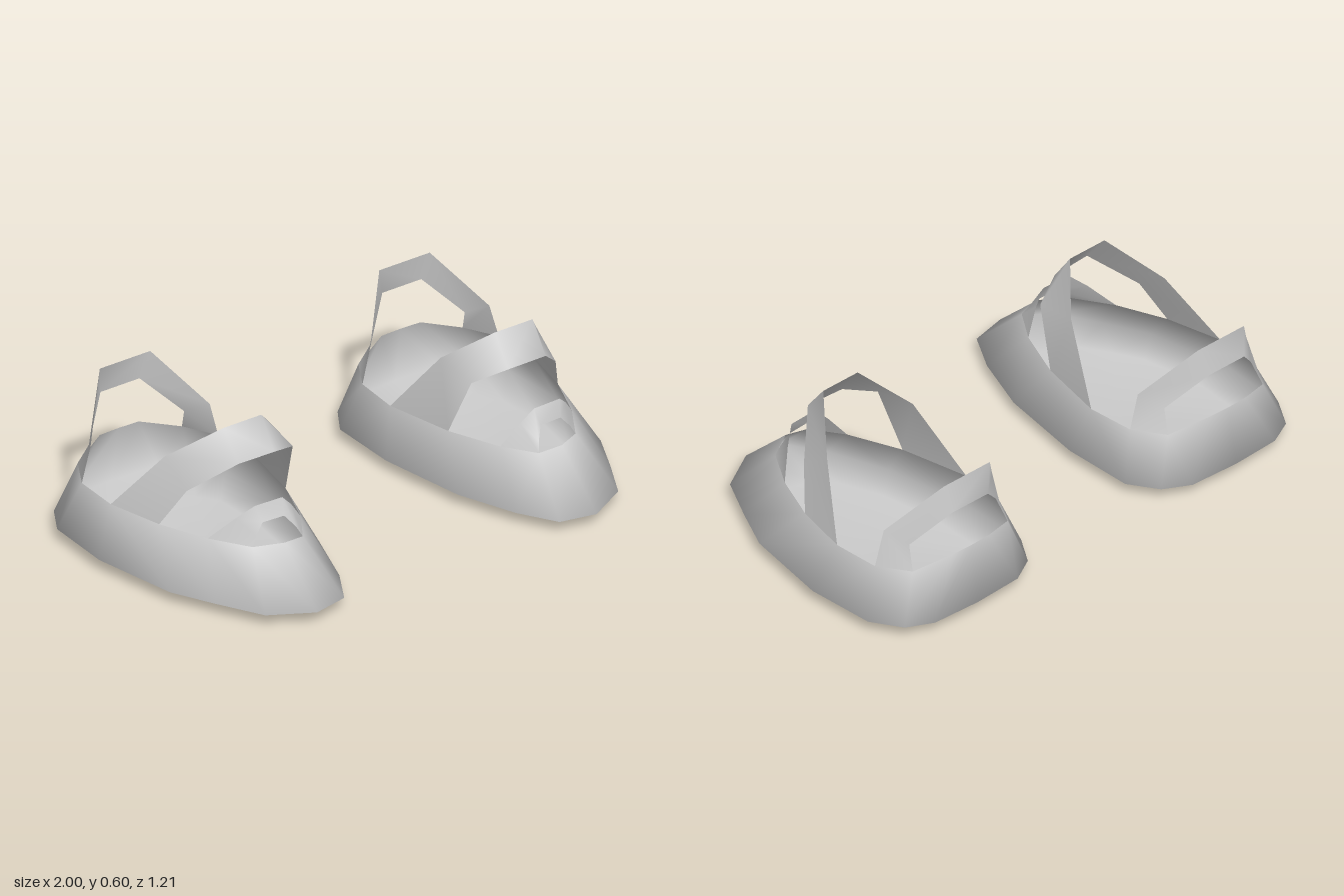
import * as THREE from 'three';

const material = new THREE.MeshStandardMaterial({ color: 0xcccccc, side: THREE.DoubleSide });

// Skin a surface through rows of [x, y, z] points; closed rows wrap around
function loft(name, rows, closed = false) {
  const n = rows[0].length;
  const index = [];
  for (let r = 0; r < rows.length - 1; r++) {
    for (let i = 0; i < (closed ? n : n - 1); i++) {
      const j = (i + 1) % n;
      const a = r * n + i, b = r * n + j, c = a + n, d = b + n;
      index.push(a, b, d, a, d, c);
    }
  }
  const geometry = new THREE.BufferGeometry();
  geometry.setAttribute('position', new THREE.Float32BufferAttribute(rows.flat(2), 3));
  geometry.setIndex(index);
  geometry.computeVertexNormals();
  const mesh = new THREE.Mesh(geometry, material);
  mesh.name = name;
  return mesh;
}

// Widest outline of the sole (x, z), from the toe round the outer side
const outline = [
  [0.61, 0.605], [0.77, 0.515], [0.86, 0.345], [0.94, 0.18], [1.0, -0.16],
  [0.985, -0.43], [0.915, -0.545], [0.815, -0.595], [0.62, -0.605], [0.42, -0.595],
  [0.32, -0.54], [0.25, -0.43], [0.245, -0.15], [0.30, 0.20], [0.385, 0.43], [0.47, 0.575],
];

// Top edge of the side wall, matching the outline point by point
const rim = [
  [0.605, 0.235, 0.405], [0.705, 0.225, 0.35], [0.795, 0.225, 0.205], [0.87, 0.225, 0.02],
  [0.92, 0.225, -0.2], [0.91, 0.225, -0.385], [0.84, 0.23, -0.505], [0.70, 0.27, -0.565],
  [0.615, 0.27, -0.568], [0.53, 0.27, -0.565], [0.385, 0.23, -0.505], [0.315, 0.225, -0.385],
  [0.30, 0.225, -0.2], [0.355, 0.225, 0.07], [0.435, 0.225, 0.27], [0.515, 0.225, 0.39],
];

function createShoe(name) {
  const shoe = new THREE.Group();
  shoe.name = name;

  // Sole and leaning side wall in one smooth skin
  const edge = outline.map(([x, z]) => [x, 0.045, z]);
  const bottom = outline.map(([x, z]) => {
    const bz = z * (z > 0 ? 0.64 : 0.74);
    return [0.62 + (x - 0.62) * 0.72, 0.0083 + 0.0185 * bz, bz];
  });
  const centre = outline.map(() => [0.62, 0.008, 0]);
  shoe.add(loft('soleAndWall', [centre, bottom, edge, rim], true));

  // Small arch over the toe opening
  shoe.add(loft('toeArch', [
    [[0.795, 0.225, 0.205], [0.72, 0.31, 0.27], [0.665, 0.36, 0.31],
      [0.55, 0.36, 0.315], [0.50, 0.31, 0.30], [0.435, 0.225, 0.27]],
    [[0.705, 0.225, 0.35], [0.685, 0.26, 0.345], [0.65, 0.30, 0.335],
      [0.56, 0.30, 0.34], [0.53, 0.26, 0.37], [0.515, 0.225, 0.39]],
  ]));

  // Broad strap over the instep
  shoe.add(loft('instepStrap', [
    [[0.92, 0.225, -0.2], [0.81, 0.455, -0.03], [0.675, 0.598, 0.135],
      [0.51, 0.598, 0.135], [0.38, 0.475, -0.01], [0.30, 0.225, -0.2]],
    [[0.87, 0.225, 0.02], [0.805, 0.37, 0.095], [0.67, 0.49, 0.22],
      [0.51, 0.485, 0.215], [0.39, 0.445, 0.16], [0.355, 0.225, 0.07]],
  ]));

  // Strap rising behind the heel
  shoe.add(loft('heelStrap', [
    [[0.84, 0.23, -0.505], [0.82, 0.315, -0.465], [0.70, 0.445, -0.56],
      [0.53, 0.445, -0.56], [0.405, 0.315, -0.465], [0.385, 0.23, -0.505]],
    [[0.91, 0.225, -0.385], [0.87, 0.36, -0.387], [0.72, 0.555, -0.537],
      [0.50, 0.555, -0.537], [0.35, 0.36, -0.387], [0.315, 0.225, -0.385]],
  ]));
  return shoe;
}

export function createModel() {
  const model = new THREE.Group();
  model.name = 'pairOfSandals';
  const left = createShoe('leftSandal');
  const right = createShoe('rightSandal');
  right.scale.x = -1;
  model.add(left, right);
  return model;
}
